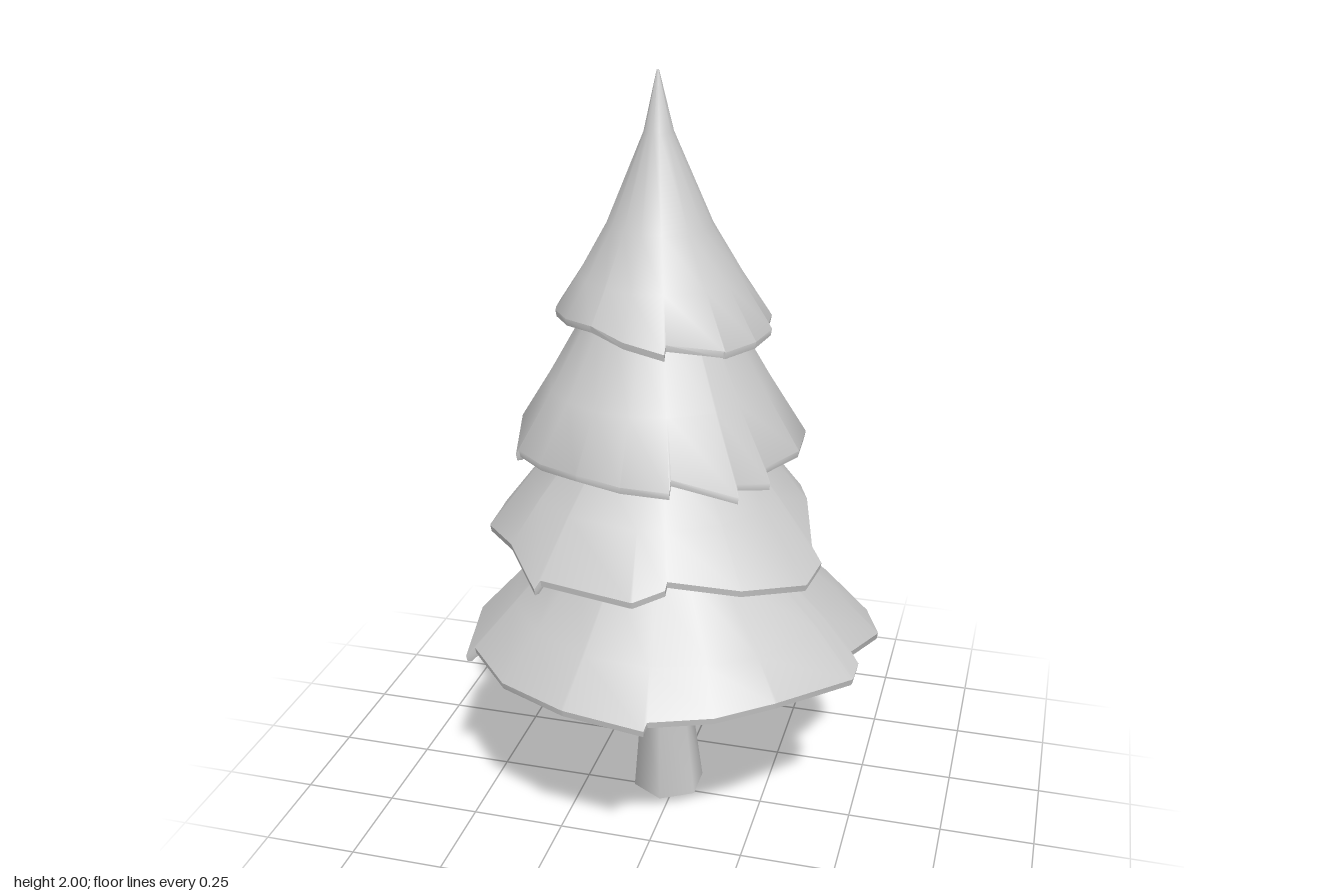
import * as THREE from 'three';
import { toCreasedNormals } from 'three/addons/utils/BufferGeometryUtils.js';

const grey = new THREE.MeshStandardMaterial({ color: 0xcccccc, side: THREE.DoubleSide });
const { lerp, degToRad } = THREE.MathUtils;

// Joins equal-length rings of points into a surface; rings run clockwise seen from above.
function loft(rings, crease) {
  const n = rings[0].length;
  const index = [];
  for (let i = 0; i < rings.length - 1; i++) {
    for (let j = 0; j < n; j++) {
      const k = (j + 1) % n;
      const a = i * n + j, b = i * n + k, c = a + n, d = b + n;
      index.push(a, b, c, b, d, c);
    }
  }
  const geometry = new THREE.BufferGeometry().setFromPoints(rings.flat());
  geometry.setIndex(index);
  return toCreasedNormals(geometry, crease);
}

// Jagged outline: each tooth [start angle, start radius, end radius] runs up to the next one's start.
function jaggedRim(teeth) {
  return teeth.flatMap(([start, r0, r1], i) => {
    const next = i + 1 < teeth.length ? teeth[i + 1][0] : teeth[0][0] + 360;
    const span = next - start - 0.8;
    const steps = Math.max(1, Math.round(span / 24));
    return Array.from({ length: steps + 1 }, (_, s) => ({
      angle: degToRad(start + span * s / steps),
      r: lerp(r0, r1, s / steps),
    }));
  });
}

// A skirt of foliage: round rings [radius, y] flaring to a jagged rim, then a lip and an inner face.
function foliageTier(name, [cx, cz], rimRadius, rimY, rings, teeth) {
  const rim = jaggedRim(teeth);
  const point = (x, z, r, y, angle) =>
    new THREE.Vector3(x + r * Math.cos(angle), y, z + r * Math.sin(angle));

  // Upper rings lean towards the tip of the tree.
  const shell = (inset) => rings.map(([r, y], i) => {
    const t = 1 - (i + 1) / rings.length;
    const x = lerp(cx, -0.035, t), z = lerp(cz, 0.015, t);
    return rim.map(({ angle }) => point(x, z, Math.max(r - inset, 0.003), y - inset * 0.6, angle));
  });

  // Teeth continue the slope of the skirt, so the longer ones hang lower.
  const [lastRadius, lastY] = rings[rings.length - 1];
  const slope = (lastY - rimY) / (rimRadius - lastRadius);
  const edge = (inset, drop) => rim.map(({ angle, r }) =>
    point(cx, cz, r - inset, rimY - slope * (r - rimRadius) - drop, angle));

  const mesh = new THREE.Mesh(loft([
    ...shell(0), edge(0, 0), edge(0.003, 0.017), edge(0.016, 0.017), ...shell(0.014).reverse(),
  ], 0.75), grey);
  mesh.name = name;
  return mesh;
}

// Leaning, tapered six-sided trunk, closed at the foot
function trunk() {
  const sections = [[-0.04, 0, 0.04, 0.95], [-0.04, -0.01, 0.057, 0.5], [-0.028, -0.025, 0.068, 0.3],
    [-0.024, -0.04, 0.1, 0], [-0.024, -0.04, 0.001, 0]];
  const rings = sections.map(([x, z, r, y]) => Array.from({ length: 6 }, (_, i) => {
    const a = Math.PI / 2 + i * Math.PI / 3;
    return new THREE.Vector3(x + r * Math.cos(a), y, z + r * Math.sin(a));
  }));
  const mesh = new THREE.Mesh(loft(rings, 1.2), grey);
  mesh.name = 'trunk';
  return mesh;
}

export function createModel() {
  const tree = new THREE.Group();
  tree.name = 'pineTree';
  tree.add(trunk());

  tree.add(foliageTier('bottomFoliage', [0, 0], 0.52, 0.54,
    [[0.1, 1.05], [0.27, 0.8], [0.425, 0.645]],
    [[-135, 0.573, 0.532], [-95, 0.532, 0.515], [-58, 0.516, 0.5], [-27, 0.548, 0.552],
      [-14, 0.552, 0.5], [10, 0.523, 0.533], [17, 0.533, 0.506], [46, 0.506, 0.515],
      [83, 0.53, 0.522], [107, 0.522, 0.535], [153.4, 0.559, 0.54], [178, 0.54, 0.534]]));

  tree.add(foliageTier('lowerMiddleFoliage', [-0.04, -0.01], 0.42, 0.85,
    [[0.1, 1.3], [0.23, 1.085], [0.335, 0.96]],
    [[-100, 0.456, 0.427], [-57, 0.427, 0.385], [-13, 0.385, 0.426], [11, 0.455, 0.466],
      [24, 0.466, 0.411], [73, 0.424, 0.443], [84, 0.443, 0.44], [117, 0.456, 0.418],
      [139, 0.418, 0.447], [166, 0.447, 0.442], [186.5, 0.458, 0.426]]));

  tree.add(foliageTier('upperMiddleFoliage', [-0.03, 0.03], 0.36, 1.115,
    [[0.08, 1.6], [0.188, 1.405], [0.28, 1.245]],
    [[-145, 0.38, 0.377], [-125, 0.377, 0.362], [-71, 0.394, 0.361], [-43, 0.361, 0.376],
      [-19, 0.376, 0.363], [31, 0.384, 0.372], [46, 0.389, 0.356], [71, 0.373, 0.362],
      [108, 0.362, 0.368], [145, 0.375, 0.36], [178, 0.36, 0.362]]));

  tree.add(foliageTier('topFoliage', [-0.025, 0.03], 0.265, 1.42,
    [[0.003, 2], [0.036, 1.86], [0.13, 1.64], [0.2, 1.52]],
    [[-178, 0.275, 0.286], [-164, 0.286, 0.249], [-140, 0.267, 0.279], [-123, 0.279, 0.262],
      [-103, 0.262, 0.264], [-70, 0.275, 0.282], [-37, 0.282, 0.27], [0, 0.28, 0.282],
      [43, 0.28, 0.264], [73, 0.277, 0.25], [116, 0.25, 0.262]]));

  return tree;
}
